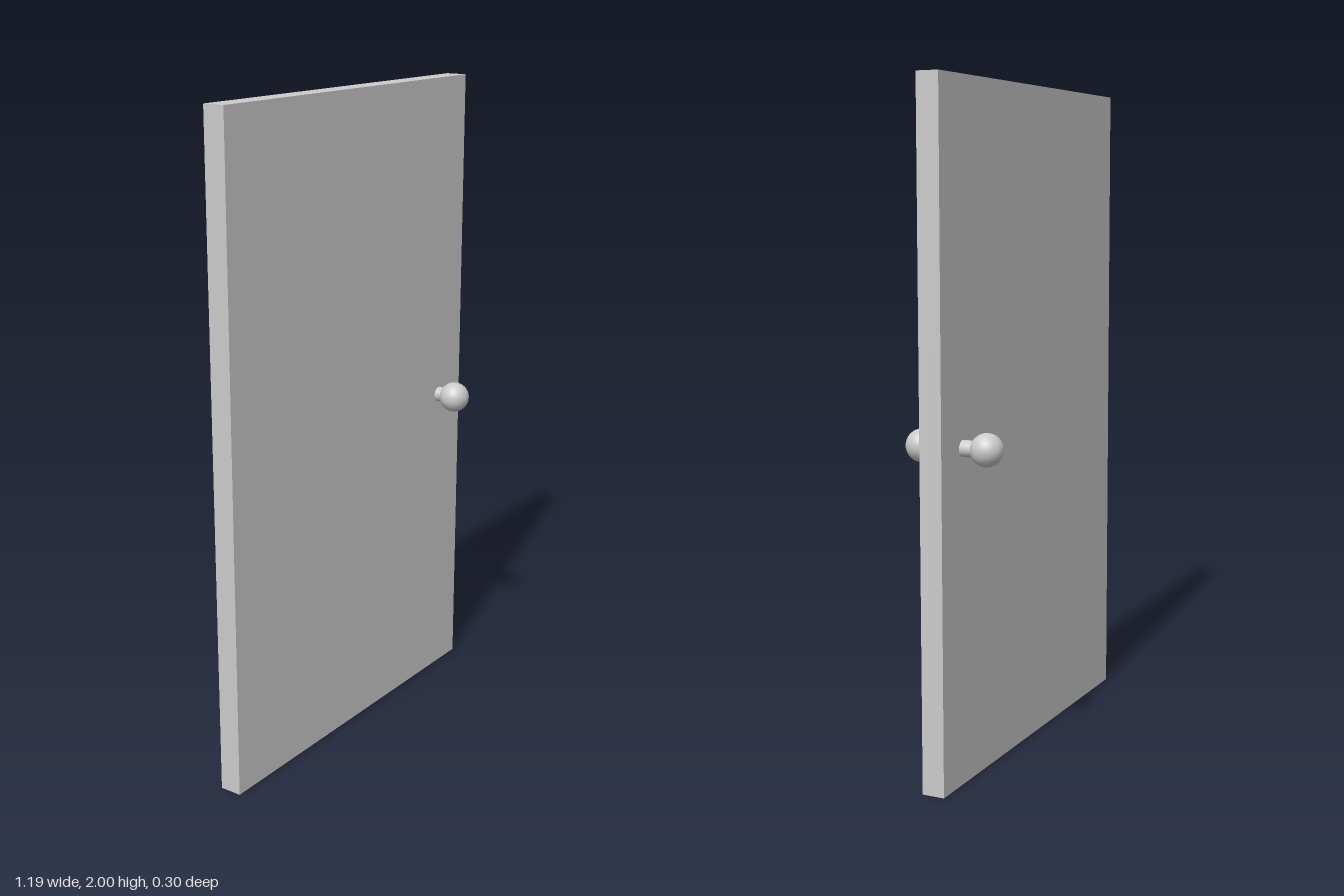
import * as THREE from 'three';

export function createModel() {
  const model = new THREE.Group();
  const material = new THREE.MeshStandardMaterial({ color: 0xcccccc });

  const add = (name, geometry, x, y, z) => {
    const mesh = new THREE.Mesh(geometry, material);
    mesh.name = name;
    mesh.position.set(x, y, z);
    model.add(mesh);
    return mesh;
  };

  // Flat door slab, slightly forward of the handle's centre
  add('doorPanel', new THREE.BoxGeometry(1.194, 2, 0.068), 0, 1, 0.007);

  // Spindle through the panel with a round knob at each end
  const x = 0.47, y = 0.976, reach = 0.102;
  add('spindle', new THREE.CylinderGeometry(0.024, 0.024, 2 * reach, 32), x, y, 0).rotation.x = Math.PI / 2;
  for (const [name, side] of [['frontKnob', 1], ['backKnob', -1]]) {
    add(name, new THREE.SphereGeometry(0.048, 32, 16), x, y, side * reach);
  }

  return model;
}
